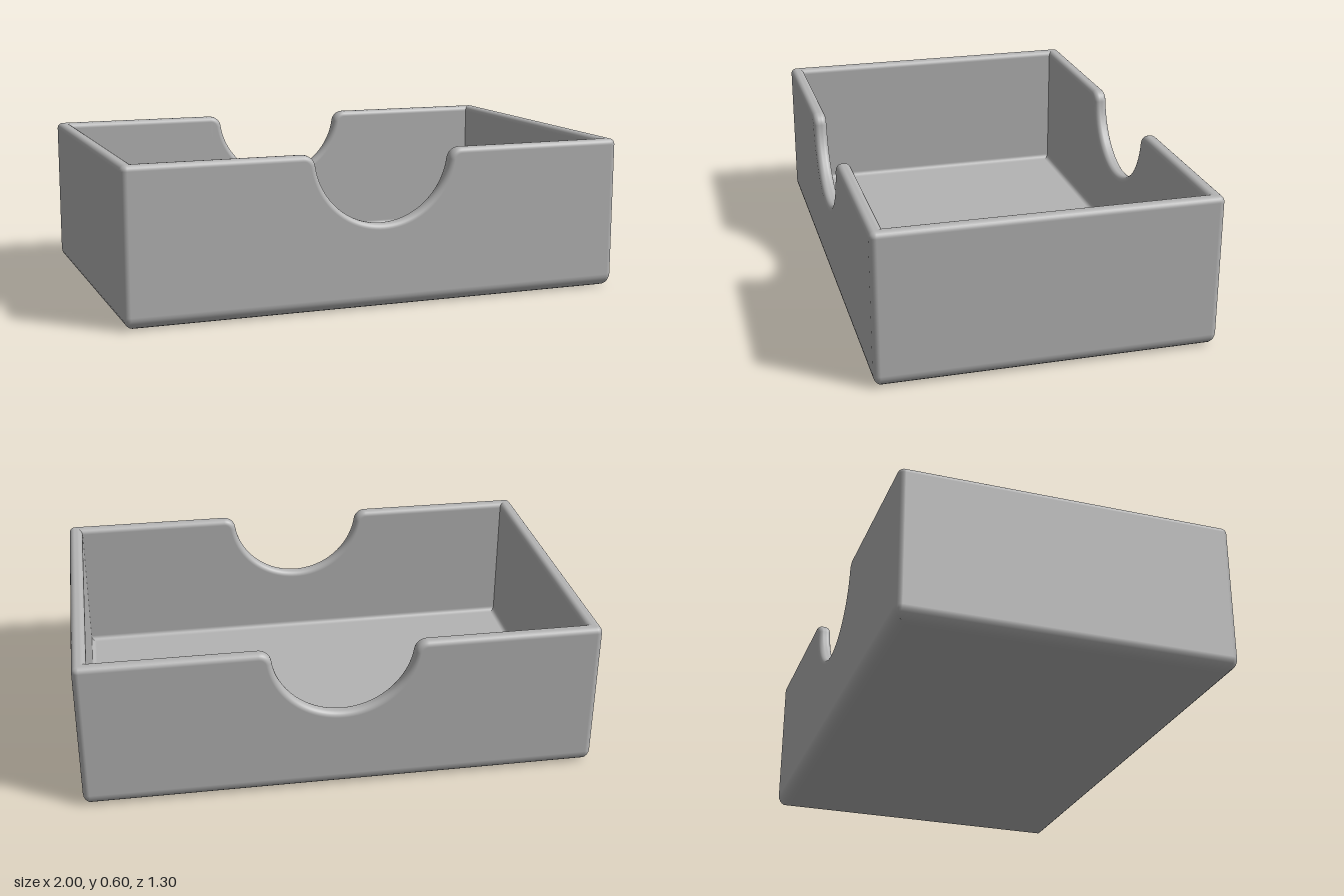
import * as THREE from 'three';

const HX = 1, HZ = 0.65, H = 0.6;      // half length, half depth, height
const T = 0.055;                       // wall and floor thickness
const R_CORNER = 0.025, R_BASE = 0.05, R_RIM = 0.022, R_FLOOR = 0.02;

// Rim of a notched wall: points (x, y) with the in-plane normal (mx, my)
function notchRim() {
  const R = 0.274, cy = 0.599, rf = 0.05, fx = 0.32, fy = H - rf;
  const lean = Math.atan2(fx, cy - fy);            // where scoop meets fillet
  const right = [];
  for (let i = 0; i <= 24; i++) {                  // scoop
    const a = lean * i / 24;
    right.push([R * Math.sin(a), cy - R * Math.cos(a), -Math.sin(a), Math.cos(a)]);
  }
  for (let i = 1; i <= 10; i++) {                  // rounded shoulder
    const a = lean * (1 - i / 10);
    right.push([fx - rf * Math.sin(a), fy + rf * Math.cos(a), -Math.sin(a), Math.cos(a)]);
  }
  const left = right.slice(1).reverse().map(([x, y, mx, my]) => [-x, y, -mx, my]);
  return [...left, ...right];
}

// Wall cross-section from underside to floor: inset d, height y or depth e
// below the rim, and normal (out, up)
function wallProfile() {
  const pts = [], N = 6;
  const arc = (fn) => { for (let i = 0; i <= N; i++) fn(Math.PI / 2 * i / N); };
  arc(a => pts.push({ d: R_BASE * (1 - Math.sin(a)), y: R_BASE * (1 - Math.cos(a)), out: Math.sin(a), up: -Math.cos(a) }));
  arc(a => pts.push({ d: R_RIM * (1 - Math.cos(a)), e: R_RIM * (1 - Math.sin(a)), out: Math.cos(a), up: Math.sin(a) }));
  arc(a => pts.push({ d: T - R_RIM * (1 - Math.sin(a)), e: R_RIM * (1 - Math.cos(a)), out: -Math.sin(a), up: Math.cos(a) }));
  arc(a => pts.push({ d: T + R_FLOOR * (1 - Math.cos(a)), y: T + R_FLOOR * (1 - Math.sin(a)), out: -Math.cos(a), up: Math.sin(a) }));
  return pts;
}

// Sweep the cross-section round the four walls and rounded corners
function wallGeometry() {
  const profile = wallProfile(), rim = notchRim();
  const pos = [], nor = [], idx = [];
  let columns = 0;
  for (let k = 0; k < 4; k++) {
    const [hl, hw] = k % 2 ? [HZ, HX] : [HX, HZ];
    const c = Math.round(Math.cos(k * Math.PI / 2)), s = Math.round(Math.sin(k * Math.PI / 2));
    const put = (u, y, w, nu, ny, nw) => {
      pos.push(u * c + w * s, y, -u * s + w * c);
      nor.push(nu * c + nw * s, ny, -nu * s + nw * c);
    };
    // notch columns on the two long walls
    if (k % 2 === 0) for (const [x, y, mx, my] of rim) {
      for (const p of profile) {
        if (p.e === undefined) put(x, p.y, hw - p.d, 0, p.up, p.out);
        else put(x - mx * p.e, y - my * p.e, hw - p.d, mx * p.up, my * p.up, p.out);
      }
      columns++;
    }
    // corner columns, mitred where the inset exceeds the corner radius
    for (let i = 0; i <= 6; i++) {
      const a = Math.PI / 2 * i / 6, sn = Math.sin(a), cs = Math.cos(a);
      for (const p of profile) {
        const inset = Math.max(R_CORNER, p.d), rho = Math.max(R_CORNER - p.d, 0);
        put(hl - inset + rho * sn, p.e === undefined ? p.y : H - p.e, hw - inset + rho * cs,
          p.out * sn, p.up, p.out * cs);
      }
      columns++;
    }
  }
  const n = profile.length;
  for (let j = 0; j < columns; j++) {
    const a = j * n, b = ((j + 1) % columns) * n;
    for (let i = 0; i < n - 1; i++) {
      idx.push(a + i, b + i, b + i + 1, a + i, b + i + 1, a + i + 1);
    }
  }
  const g = new THREE.BufferGeometry();
  g.setAttribute('position', new THREE.Float32BufferAttribute(pos, 3));
  g.setAttribute('normal', new THREE.Float32BufferAttribute(nor, 3));
  g.setIndex(idx);
  return g;
}

export function createModel() {
  const tray = new THREE.Group();
  tray.name = 'tray';
  const grey = new THREE.MeshStandardMaterial({ color: 0xb4b4b4 });
  grey.name = 'grey';
  const add = (name, geometry) => {
    const mesh = new THREE.Mesh(geometry, grey);
    mesh.name = name;
    tray.add(mesh);
  };
  // flat panel at height y, inset from the outer walls
  const panel = (inset, y, turn) =>
    new THREE.PlaneGeometry(2 * (HX - inset), 2 * (HZ - inset)).rotateX(turn).translate(0, y, 0);

  add('walls', wallGeometry());
  add('floor', panel(T + R_FLOOR, T, -Math.PI / 2));
  add('underside', panel(R_BASE, 0, Math.PI / 2));
  return tray;
}
